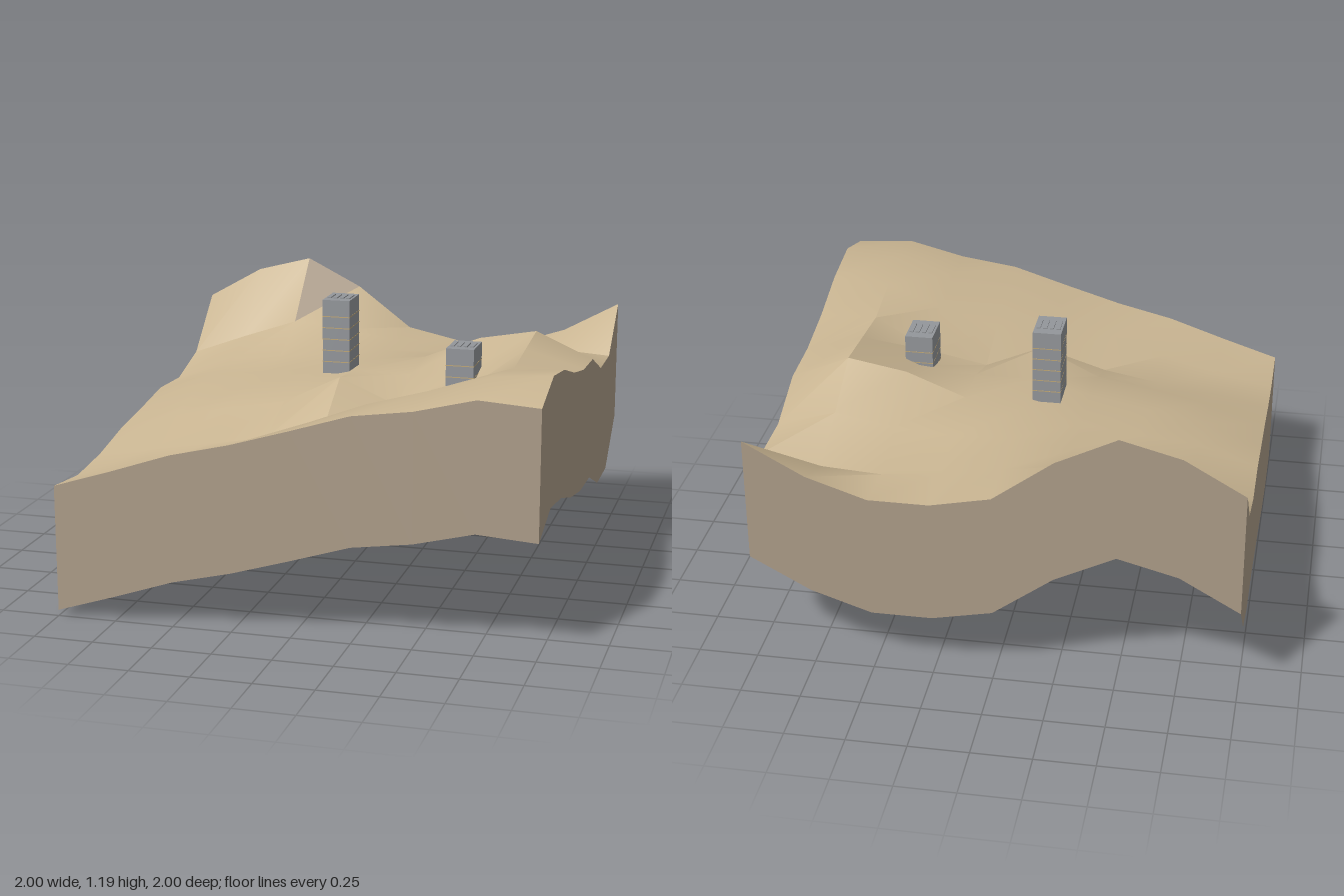
import * as THREE from 'three';
import { toCreasedNormals } from 'three/addons/utils/BufferGeometryUtils.js';

// Ground heights on a 9 x 9 grid: rows run back (z = -1) to front, columns x = -1 to 1
const H = [
  [0.968, 1.11, 1.175, 1.05, 0.863, 0.81, 0.81, 0.893, 1.03],
  [0.738, 0.83, 0.915, 0.893, 0.855, 0.815, 0.785, 0.80, 0.838],
  [0.668, 0.755, 0.80, 0.83, 0.86, 0.85, 0.87, 0.915, 0.838],
  [0.678, 0.76, 0.785, 0.815, 0.87, 0.90, 1.0, 1.045, 0.935],
  [0.643, 0.725, 0.775, 0.82, 0.88, 0.88, 0.905, 1.02, 0.945],
  [0.613, 0.688, 0.74, 0.785, 0.908, 0.80, 0.85, 0.995, 0.99],
  [0.565, 0.61, 0.645, 0.69, 0.75, 0.865, 0.95, 1.04, 1.06],
  [0.54, 0.585, 0.66, 0.74, 0.835, 0.93, 1.0, 1.075, 1.093],
  [0.565, 0.645, 0.73, 0.79, 0.865, 0.943, 0.978, 1.04, 1.023],
];
const N = 8, STEP = 0.25, DEPTH = 0.535;

function makeMaterial(name, color, side = THREE.FrontSide) {
  const material = new THREE.MeshStandardMaterial({ color, side });
  material.name = name;
  return material;
}
const soil = makeMaterial('sandy soil', 0xc9b592, THREE.DoubleSide);
const rock = makeMaterial('brown rock', 0xac9c88, THREE.DoubleSide);
const stone = makeMaterial('grey block', 0x93969a);
const mortar = makeMaterial('sandy mortar', 0xc0a878);

const point = (i, j, drop = 0) => [-1 + i * STEP, H[j][i] - drop, -1 + j * STEP];

function meshFrom(points, material, name, crease) {
  let g = new THREE.BufferGeometry();
  g.setAttribute('position', new THREE.Float32BufferAttribute(points.flat(), 3));
  g.computeVertexNormals();
  if (crease) g = toCreasedNormals(g, crease);
  const mesh = new THREE.Mesh(g, material);
  mesh.name = name;
  return mesh;
}

// Rolling surface, with one bare rock face below the peak
function addGround(group) {
  const ground = [], cliff = [];
  for (let j = 0; j < N; j++) {
    for (let i = 0; i < N; i++) {
      const a = point(i, j), b = point(i + 1, j);
      const c = point(i, j + 1), d = point(i + 1, j + 1);
      (i === 2 && j === 0 ? cliff : ground).push(a, c, b);
      ground.push(b, c, d);
    }
  }
  group.add(meshFrom(ground, soil, 'ground', 0.5));
  group.add(meshFrom(cliff, rock, 'cliffFace'));
}

// Cut sides hanging a fixed depth below the rim, open underneath
function addSides(group) {
  const sides = {
    frontSide: k => [k, N],
    leftSide: k => [N, N - k],
    backSide: k => [N - k, 0],
    rightSide: k => [0, k],
  };
  for (const [name, at] of Object.entries(sides)) {
    const pts = [];
    for (let k = 0; k < N; k++) {
      const p = at(k), q = at(k + 1);
      const a = point(...p), b = point(...q);
      const c = point(...p, DEPTH), d = point(...q, DEPTH);
      pts.push(c, d, a, a, d, b);
    }
    group.add(meshFrom(pts, rock, name));
  }
}

// Block tower with thin mortar seams and low ribs on its top
function blockTower(name, x, z, bottom, top) {
  const tower = new THREE.Group();
  tower.name = name;
  const w = 0.12, d = 0.165, rib = 0.005, seam = 0.004;
  const roof = top - rib;

  const addBox = (label, material, size, px, py) => {
    const mesh = new THREE.Mesh(new THREE.BoxGeometry(...size), material);
    mesh.name = label;
    mesh.position.set(px, py, 0);
    tower.add(mesh);
  };
  addBox('body', stone, [w, roof - bottom, d], 0, (roof + bottom) / 2);
  for (let y = roof - 0.073; y > bottom + seam; y -= 0.05) {
    addBox('seam', mortar, [w + 0.001, seam, d + 0.001], 0, y);
  }
  for (let i = 0; i < 4; i++) {
    addBox('rib', stone, [0.016, rib, 0.08], -0.042 + i * 0.028, roof + rib / 2);
  }
  tower.position.set(x, 0, z);
  return tower;
}

export function createModel() {
  const model = new THREE.Group();
  model.name = 'hillside';
  addGround(model);
  addSides(model);
  model.add(blockTower('tallTower', -0.087, -0.082, 0.86, 1.19));
  model.add(blockTower('shortTower', 0.5, 0.082, 0.86, 1.045));
  return model;
}
